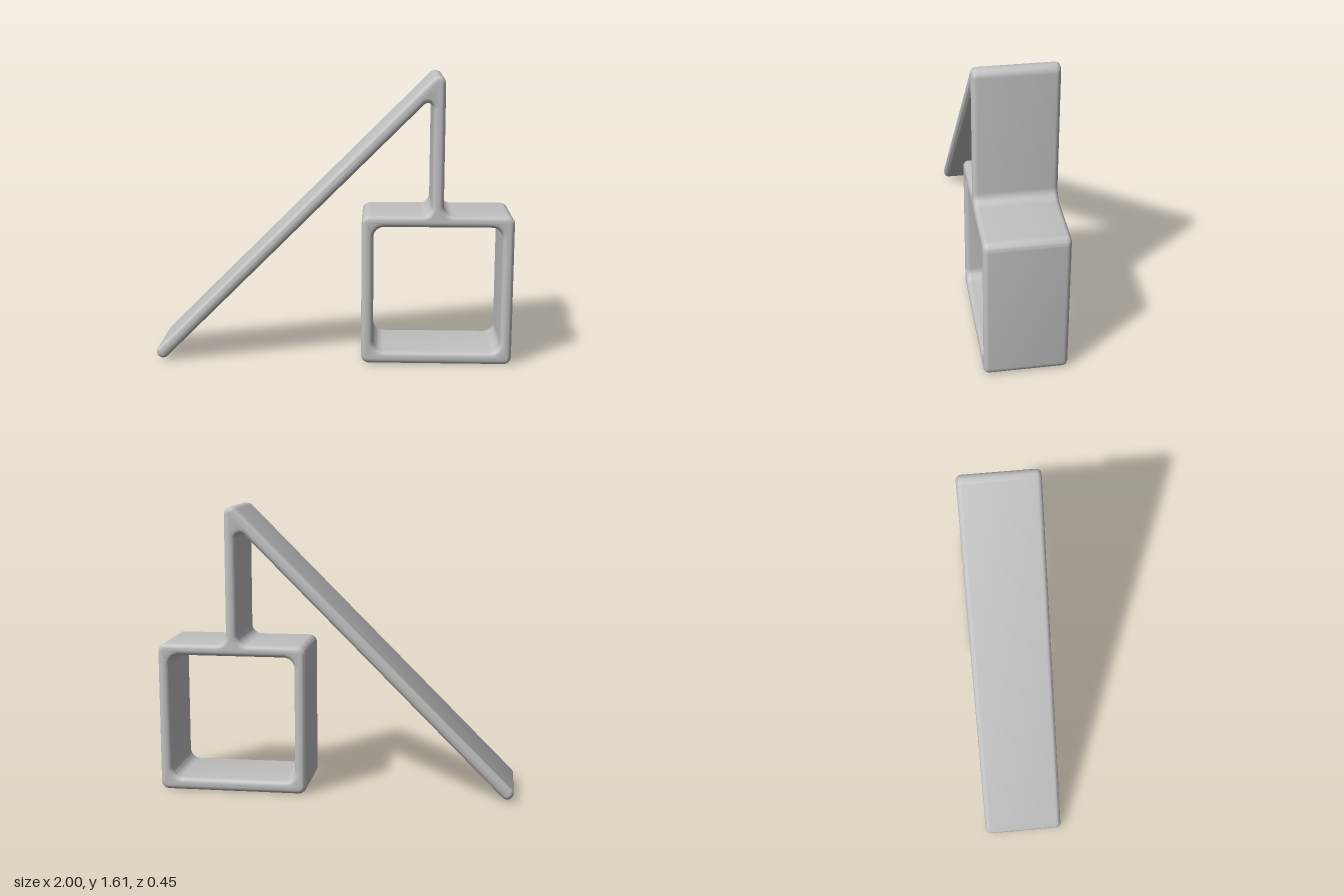
import * as THREE from 'three';
import { toCreasedNormals } from 'three/addons/utils/BufferGeometryUtils.js';

// Polygon whose corners [x, y, radius] are replaced by tangent arcs
function roundedPoints(corners, steps = 10) {
  const points = [];
  const n = corners.length;
  const at = (i) => new THREE.Vector2(corners[(i + n) % n][0], corners[(i + n) % n][1]);
  for (let i = 0; i < n; i++) {
    const p = at(i);
    const r = corners[i][2];
    const u = at(i - 1).sub(p).normalize();
    const v = at(i + 1).sub(p).normalize();
    const half = Math.acos(u.dot(v)) / 2;
    const c = u.clone().add(v).normalize().multiplyScalar(r / Math.sin(half)).add(p);
    const a0 = p.clone().addScaledVector(u, r / Math.tan(half)).sub(c).angle();
    const a1 = p.clone().addScaledVector(v, r / Math.tan(half)).sub(c).angle();
    let sweep = a1 - a0;
    if (sweep > Math.PI) sweep -= 2 * Math.PI;
    if (sweep < -Math.PI) sweep += 2 * Math.PI;
    for (let k = 0; k <= steps; k++) {
      const a = a0 + (sweep * k) / steps;
      points.push(new THREE.Vector2(c.x + r * Math.cos(a), c.y + r * Math.sin(a)));
    }
  }
  return points;
}

export function createModel() {
  const group = new THREE.Group();
  const grey = new THREE.MeshStandardMaterial({ color: 0xc0c0c0 });
  grey.name = 'light grey';

  // One continuous band: sloping ramp, upright and square ring
  const shape = new THREE.Shape(roundedPoints([
    [-0.965, 0.005, 0.034], // ramp foot, underside
    [0.54, 1.51, 0.03],     // inner apex
    [0.54, 0.85, 0.055],    // fillet between upright and ring
    [0.155, 0.85, 0.045],
    [0.155, 0.005, 0.045],
    [0.995, 0.005, 0.045],
    [0.995, 0.85, 0.045],
    [0.605, 0.85, 0.055],
    [0.605, 1.675, 0.042],  // outer apex
    [-1.015, 0.055, 0.034], // ramp foot, top
  ]));

  // Square opening of the ring
  shape.holes.push(new THREE.Path(roundedPoints([
    [0.22, 0.075, 0.06],
    [0.22, 0.785, 0.06],
    [0.93, 0.785, 0.06],
    [0.93, 0.075, 0.06],
  ])));

  // Rounded front and back edges, outline kept at full size
  const width = 0.45;
  const bevel = 0.028;
  const geometry = new THREE.ExtrudeGeometry(shape, {
    depth: width - 2 * bevel,
    bevelEnabled: true,
    bevelThickness: bevel,
    bevelSize: bevel,
    bevelOffset: -bevel,
    bevelSegments: 5,
  });
  geometry.translate(0, 0, -width / 2 + bevel);

  const frame = new THREE.Mesh(toCreasedNormals(geometry, 0.7), grey);
  frame.name = 'rampAndRingFrame';
  group.add(frame);
  return group;
}
